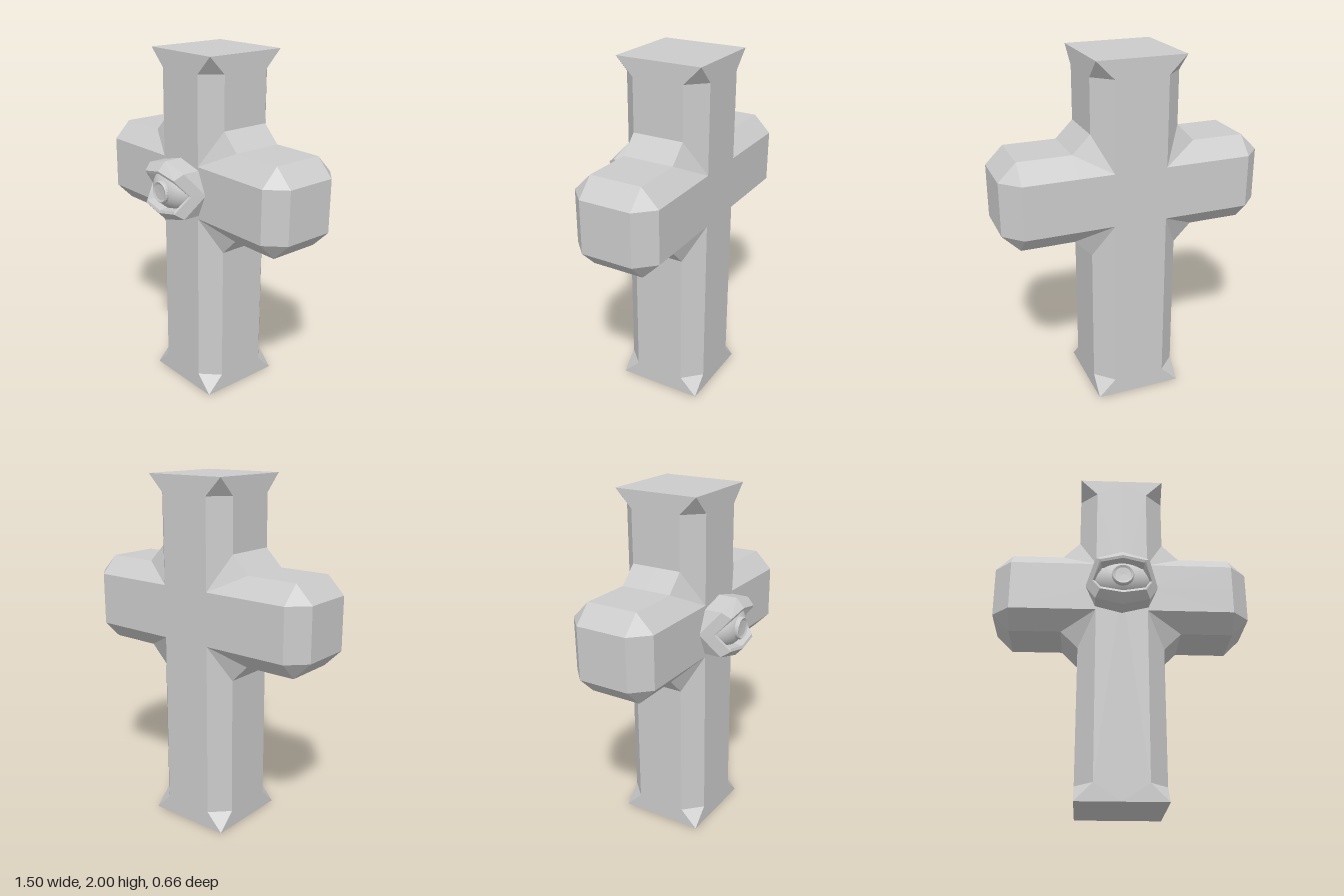
import * as THREE from 'three';

const flat = () => new THREE.MeshStandardMaterial({ color: 0xcccccc, flatShading: true });

function meshFrom(name, pos, material) {
  const g = new THREE.BufferGeometry();
  g.setAttribute('position', new THREE.Float32BufferAttribute(pos, 3));
  g.computeVertexNormals();
  const m = new THREE.Mesh(g, material);
  m.name = name;
  return m;
}

// Faces of one octant of the cross; H is the half length of the post.
// Every face is a fan around its first corner.
function octantFaces(H) {
  const a = 0.15, b = 0.25, j = 0.35, e = 0.65, E = 0.75, K = H - 0.1;
  return [
    [[a, K, b], [b, H, b], [0, H, b], [0, 0, b], [a, 0, b]],        // post front
    [[b, K, a], [b, H, b], [b, H, 0], [b, j, 0], [b, j, a]],        // post side
    [[0, H, 0], [b, H, 0], [b, H, b], [0, H, b]],                   // post end
    [[a, j, b], [b, j, a], [b, K, a], [a, K, b]],                   // post bevel
    [[a, K, b], [b, K, a], [b, H, b]],                              // flared corner
    [[b, j, 0], [j, b, 0], [j, b, a], [b, j, a]],                   // inner slope
    [[a, a, b], [j, a, b], [j, b, a], [b, j, a], [a, j, b]],        // inner corner bevel
    [[a, 0, b], [e, 0, b], [e, a, b], [a, a, b]],                   // arm front
    [[j, b, 0], [e, b, 0], [e, b, a], [j, b, a]],                   // arm top
    [[j, b, a], [j, a, b], [e, a, b], [e, b, a]],                   // arm bevel
    [[e, b, 0], [e, b, a], [E, a, a], [E, a, 0]],                   // arm end bevels
    [[e, 0, b], [E, 0, a], [E, a, a], [e, a, b]],
    [[e, b, a], [e, a, b], [E, a, a]],
    [[E, 0, 0], [E, a, 0], [E, a, a], [E, 0, a]],                   // arm end
  ];
}

function crossBody() {
  const pos = [];
  for (const sx of [1, -1]) for (const sy of [1, -1]) for (const sz of [1, -1]) {
    for (const f of octantFaces(sy > 0 ? 0.75 : 1.25)) {
      for (let i = 1; i < f.length - 1; i++) {
        const [p, q, r] = [f[0], f[i], f[i + 1]].map(v => new THREE.Vector3(...v));
        const n = q.clone().sub(p).cross(r.clone().sub(p));
        const outward = (n.x + n.y + n.z) * sx * sy * sz > 0;
        for (const v of outward ? [p, q, r] : [p, r, q]) pos.push(v.x * sx, v.y * sy, v.z * sz);
      }
    }
  }
  const body = meshFrom('crossBody', pos, flat());
  body.position.set(0, 1.25, -0.08);
  return body;
}

// Eight-sided ring from its top, diagonal and side points
function ring(top, diag, side) {
  const flip = ([x, y, z], sx, sy) => [x * sx, y * sy, z];
  return [side, diag, top, flip(diag, -1, 1), flip(side, -1, 1),
    flip(diag, -1, -1), flip(top, 1, -1), flip(diag, 1, -1)];
}

function eyelids() {
  const rings = [
    ring([0, 0.17, 0.165], [0.155, 0.13, 0.165], [0.212, 0, 0.165]),   // foot
    ring([0, 0.17, 0.28], [0.155, 0.13, 0.27], [0.175, 0, 0.235]),     // outer edge
    ring([0, 0.12, 0.327], [0.13, 0.095, 0.32], [0.17, 0, 0.242]),     // lid rim
    ring([0, 0.105, 0.322], [0.125, 0.08, 0.315], [0.16, 0, 0.24]),    // opening
    ring([0, 0.1, 0.25], [0.12, 0.075, 0.25], [0.155, 0, 0.2]),        // inside
  ];
  const pos = [];
  for (let k = 0; k < rings.length - 1; k++) {
    for (let i = 0; i < 8; i++) {
      const n = (i + 1) % 8;
      const [a, b, c, d] = [rings[k][i], rings[k][n], rings[k + 1][n], rings[k + 1][i]];
      // mirrored diagonals keep both halves alike
      if (i % 2) pos.push(...a, ...b, ...d, ...b, ...c, ...d);
      else pos.push(...a, ...b, ...c, ...a, ...c, ...d);
    }
  }
  const material = flat();
  material.side = THREE.DoubleSide;
  return meshFrom('eyelids', pos, material);
}

export function createModel() {
  const model = new THREE.Group();
  model.name = 'crossWithEye';
  model.add(crossBody());

  const eye = new THREE.Group();
  eye.name = 'eye';
  eye.position.y = 1.25;
  eye.add(eyelids());

  const smooth = new THREE.MeshStandardMaterial({ color: 0xcccccc });
  const ball = new THREE.Mesh(new THREE.SphereGeometry(1, 32, 20), smooth);
  ball.name = 'eyeball';
  ball.scale.set(0.165, 0.125, 0.115);
  ball.position.z = 0.2;
  eye.add(ball);

  // Iris: raised ring around a shallow dish
  const profile = [[0.064, 0.26], [0.064, 0.317], [0.058, 0.324], [0.045, 0.318], [0, 0.316]];
  const iris = new THREE.Mesh(
    new THREE.LatheGeometry(profile.map(p => new THREE.Vector2(...p)), 24), flat());
  iris.name = 'iris';
  iris.rotation.x = Math.PI / 2;
  eye.add(iris);

  model.add(eye);
  return model;
}
